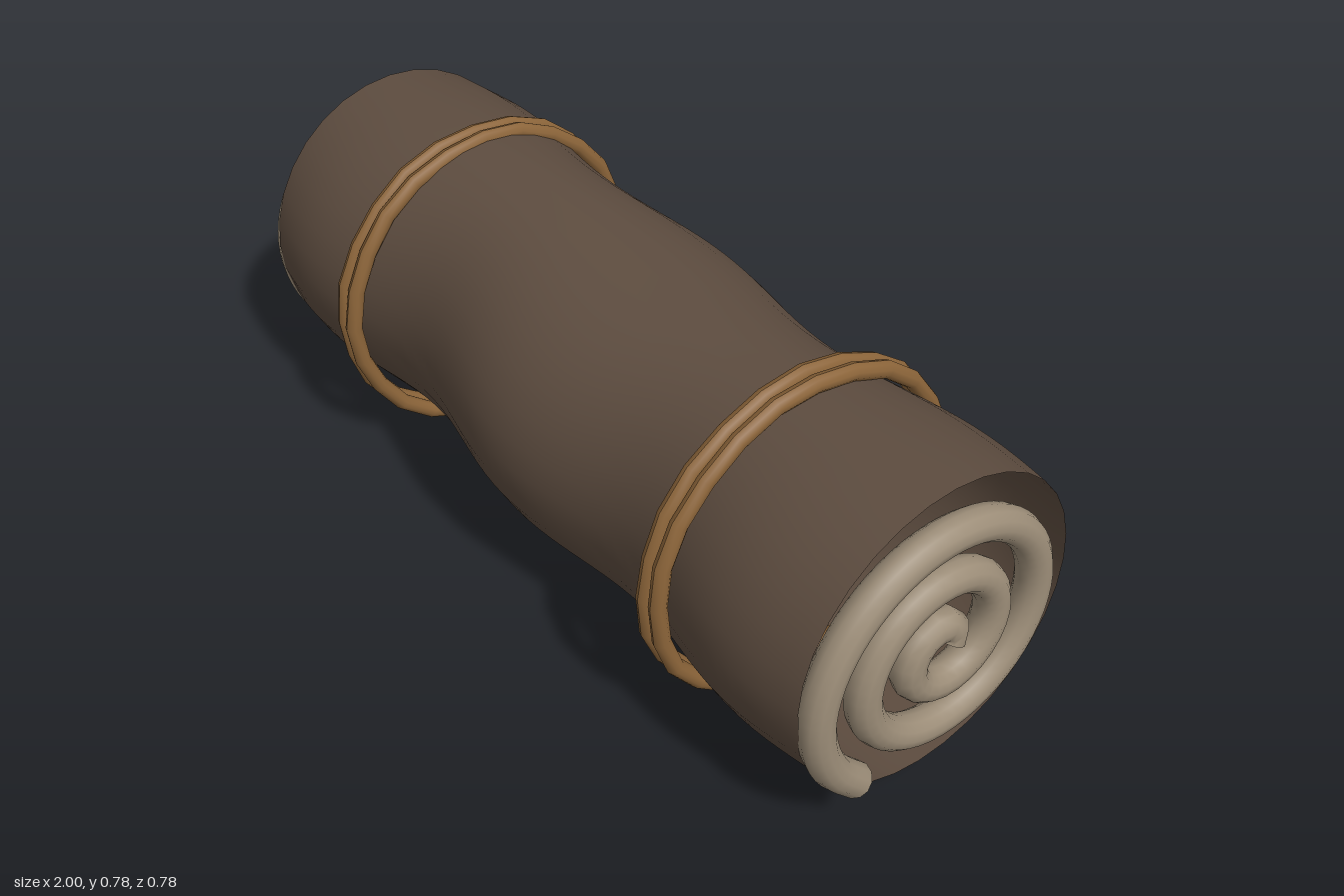
import * as THREE from 'three';
import { mergeVertices } from 'three/addons/utils/BufferGeometryUtils.js';

const CENTRE_Y = 0.389;

export function createModel() {
  const coverCloth = new THREE.MeshStandardMaterial({ color: 0x5e4d40, side: THREE.DoubleSide });
  const innerCloth = new THREE.MeshStandardMaterial({ color: 0x9c8d78, side: THREE.DoubleSide });
  const strapLeather = new THREE.MeshStandardMaterial({ color: 0x8b6439 });

  const group = new THREE.Group();
  group.name = 'bedroll';
  const add = (name, geometry, material) => {
    const mesh = new THREE.Mesh(geometry, material);
    mesh.name = name;
    group.add(mesh);
  };

  // Open cloth sleeve along x, pinched in depth and sagging slightly
  let cover = new THREE.CylinderGeometry(1, 1, 1.91, 32, 48, true).rotateZ(Math.PI / 2);
  cover.deleteAttribute('uv');
  cover.deleteAttribute('normal');
  cover = mergeVertices(cover, 1e-4);
  const p = cover.attributes.position;
  for (let i = 0; i < p.count; i++) {
    const x = p.getX(i);
    const sag = 0.013 * Math.cos(3.9 * (x + 0.5));
    const depth = 0.337 + 0.026 * Math.cos((x * Math.PI * 2) / 0.77);
    p.setY(i, 0.394 + sag + p.getY(i) * 0.351);
    p.setZ(i, p.getZ(i) * depth);
  }
  cover.computeVertexNormals();
  add('cover', cover, coverCloth);

  // Rolled layers showing as a spiral at each end
  const turns = 2.65, steps = 54;
  for (const side of [-1, 1]) {
    const points = [];
    for (let i = 0; i <= steps; i++) {
      const t = i / steps;
      const angle = t * turns * Math.PI * 2;
      const radius = 0.02 + 0.295 * t;
      points.push(new THREE.Vector3(
        side * 0.963,
        CENTRE_Y + radius * Math.sin(angle),
        -radius * Math.cos(angle)
      ));
    }
    const curve = new THREE.CatmullRomCurve3(points);
    add(side > 0 ? 'leftSpiral' : 'rightSpiral',
      new THREE.TubeGeometry(curve, 100, 0.037, 12, false), innerCloth);
  }

  // Two pairs of cord straps, each a nearly closed, slightly uneven ring
  [-0.586, -0.549, 0.544, 0.581].forEach((x, n) => {
    const strap = new THREE.TorusGeometry(0.367, 0.019, 10, 24, Math.PI * 2 - 0.012);
    strap.rotateY(Math.PI / 2);
    const q = strap.attributes.position;
    for (let i = 0; i < q.count; i++) {
      const angle = Math.atan2(q.getY(i), q.getZ(i));
      const k = 1 + 0.006 * Math.sin(angle * 7 + n * 1.7);
      q.setXYZ(i, q.getX(i) + x, q.getY(i) * k + CENTRE_Y, q.getZ(i) * k);
    }
    strap.computeVertexNormals();
    add(`strap${n + 1}`, strap, strapLeather);
  });

  return group;
}
